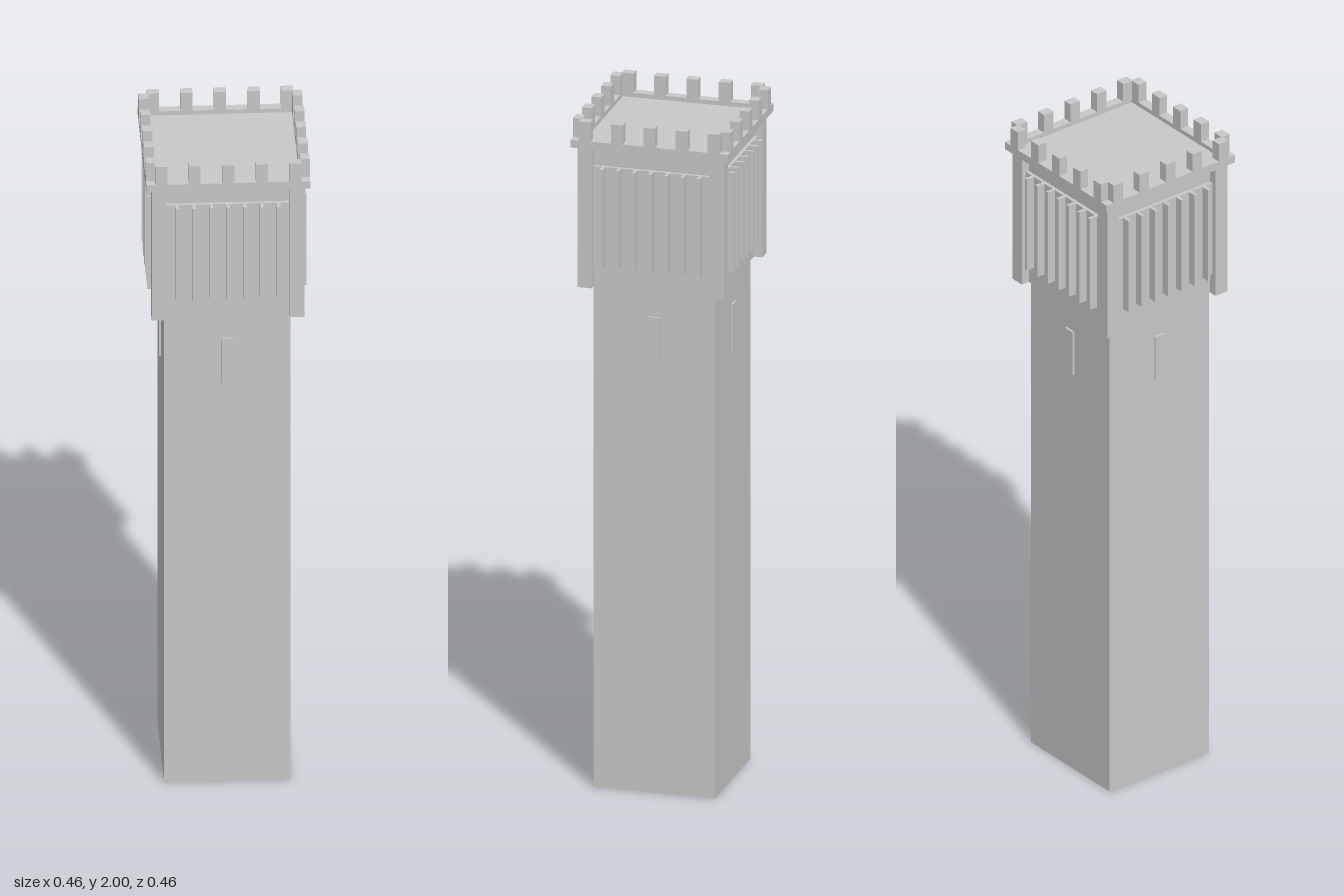
import * as THREE from 'three';

const stone = new THREE.MeshStandardMaterial({ color: 0xc8c8c8 });
stone.name = 'stone';

// Box given by its width, bottom, top and depth, centred on x and z
function box(parent, name, w, y0, y1, d, x = 0, z = 0) {
  const mesh = new THREE.Mesh(new THREE.BoxGeometry(w, y1 - y0, d), stone);
  mesh.position.set(x, (y0 + y1) / 2, z);
  mesh.name = name;
  parent.add(mesh);
  return mesh;
}

// Everything that repeats on each of the four sides, built facing +z
function createSide() {
  const side = new THREE.Group();
  side.name = 'towerSide';

  // Slit window on the shaft
  box(side, 'slitWindow', 0.035, 1.28, 1.42, 0.008, 0, 0.18);

  // Belfry panel with upright slats
  box(side, 'belfryPanel', 0.35, 1.565, 1.86, 0.02, 0, 0.19);
  for (let i = -3; i <= 3; i++) {
    box(side, 'slat', 0.01, 1.565, 1.86, 0.035, i * 0.0475, 0.2075);
  }

  // Parapet rim and battlements
  box(side, 'parapetRim', 0.405, 1.92, 1.943, 0.028, 0, 0.217);
  for (const x of [-0.189, -0.095, 0, 0.095, 0.189]) {
    box(side, 'merlon', 0.034, 1.943, 2, 0.028, x, 0.217);
  }
  return side;
}

export function createModel() {
  const tower = new THREE.Group();
  tower.name = 'tower';

  box(tower, 'shaft', 0.356, 0, 1.5, 0.356);
  box(tower, 'belfryCore', 0.38, 1.5, 1.92, 0.38);
  box(tower, 'roofFloor', 0.43, 1.915, 1.93, 0.43);

  // Corner pillars and the corners of the rim
  for (const sx of [-1, 1]) {
    for (const sz of [-1, 1]) {
      box(tower, 'cornerPillar', 0.042, 1.5, 1.92, 0.042, sx * 0.194, sz * 0.194);
      box(tower, 'rimCorner', 0.0285, 1.92, 1.943, 0.0285, sx * 0.21675, sz * 0.21675);
    }
  }

  for (let i = 0; i < 4; i++) {
    const side = createSide();
    side.rotation.y = (i * Math.PI) / 2;
    tower.add(side);
  }
  return tower;
}
